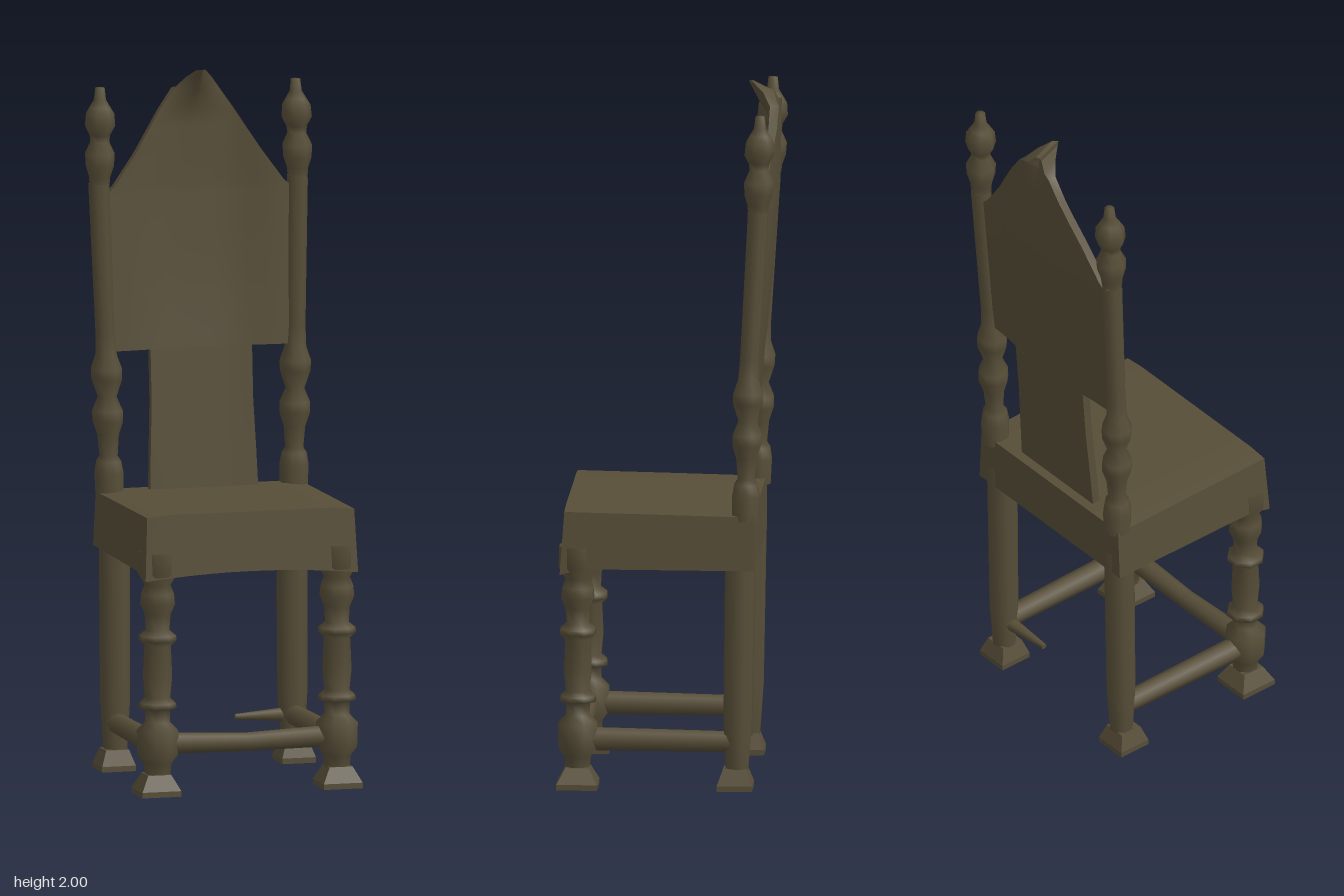
import * as THREE from 'three';

const wood = new THREE.MeshStandardMaterial({ color: 0x574e38, side: THREE.DoubleSide });
wood.name = 'dark oak';

function add(parent, name, geometry) {
  const mesh = new THREE.Mesh(geometry, wood);
  mesh.name = name;
  parent.add(mesh);
  return mesh;
}

// Piecewise-linear lookup in a list of [key, value] points
function lerpAt(points, t) {
  if (t <= points[0][0]) return points[0][1];
  for (let i = 1; i < points.length; i++) {
    const [a, va] = points[i - 1], [b, vb] = points[i];
    if (t <= b) return va + (vb - va) * (t - a) / (b - a);
  }
  return points[points.length - 1][1];
}

// Turned piece: profile of [radius, y], with its axis following x(y) and z(y)
function turned(profile, sides, xPath, zPath) {
  const geo = new THREE.LatheGeometry(profile.map(([r, y]) => new THREE.Vector2(r, y)), sides, Math.PI / sides);
  const p = geo.attributes.position;
  for (let i = 0; i < p.count; i++) {
    const y = p.getY(i);
    p.setX(i, p.getX(i) + lerpAt(xPath, y));
    p.setZ(i, p.getZ(i) + lerpAt(zPath, y));
  }
  return geo;
}

// Flared square foot
function foot(half, x, z) {
  const geo = new THREE.CylinderGeometry(0.034 * Math.SQRT2, half * Math.SQRT2, 0.045, 4, 1).toNonIndexed();
  geo.rotateY(Math.PI / 4);
  geo.translate(x, 0.0375, z);
  geo.computeVertexNormals();
  return geo;
}

// Round rail between two points
function rail(a, b, r0, r1) {
  const from = new THREE.Vector3(...a), to = new THREE.Vector3(...b);
  const dir = to.clone().sub(from);
  const geo = new THREE.CylinderGeometry(r1, r0, dir.length(), 8, 4);
  geo.applyQuaternion(new THREE.Quaternion().setFromUnitVectors(new THREE.Vector3(0, 1, 0), dir.normalize()));
  geo.translate(...from.add(to).multiplyScalar(0.5).toArray());
  return geo;
}

const frontLegProfile = [[0.036, 0.055], [0.04, 0.09], [0.058, 0.115], [0.06, 0.185], [0.036, 0.21], [0.036, 0.245],
  [0.056, 0.25], [0.052, 0.265], [0.036, 0.28], [0.042, 0.34], [0.038, 0.43], [0.055, 0.445], [0.053, 0.46],
  [0.034, 0.475], [0.037, 0.52], [0.05, 0.55], [0.047, 0.58], [0.037, 0.605], [0.058, 0.64], [0.056, 0.7]];
const backLegProfile = [[0.034, 0.055], [0.037, 0.1], [0.043, 0.2], [0.045, 0.64], [0.045, 0.7]];
const postProfile = [[0.04, 0.78], [0.042, 0.85], [0.036, 0.885], [0.026, 0.9], [0.031, 0.96], [0.044, 1.0],
  [0.044, 1.03], [0.027, 1.07], [0.044, 1.12], [0.045, 1.15], [0.031, 1.19], [0.028, 1.25], [0.03, 1.66], [0.03, 1.68]];
const finialProfile = [[0.03, 1.68], [0.032, 1.7], [0.042, 1.73], [0.044, 1.765], [0.028, 1.8], [0.031, 1.82],
  [0.045, 1.845], [0.042, 1.88], [0.03, 1.9], [0.018, 1.92], [0.014, 1.955], [0, 1.956]];
const postX = [[0.78, 0.272], [1.2, 0.28], [1.66, 0.293], [1.95, 0.289]];
const postZ = [[0.78, -0.229], [1.2, -0.238], [1.66, -0.265], [1.95, -0.272]];

// Leaning back surface, hollow in the middle, with a crest that curls forward
const leanZ = [[0.78, -0.2], [1.2, -0.225], [1.66, -0.255], [2, -0.262]];
const hollow = [[0.78, 0], [1.2, 0.012], [1.4, 0.022], [2, 0.028]];
const curl = [[1.88, 0], [1.94, 0.035], [2, 0.068]];
function backZ(x, y, front) {
  const middle = 1 - THREE.MathUtils.smoothstep(Math.abs(x), 0.08, 0.24);
  const crest = Math.max(0, 1 - Math.abs(x) / 0.07) * lerpAt(curl, y);
  return lerpAt(leanZ, y) - lerpAt(hollow, y) * middle + (front ? crest : crest * 0.35 - 0.024);
}

// Thin curved board from rows of [y, half width]; front, back and rim have own normals
function board(rows) {
  const cols = 12, pos = [], idx = [];
  const point = (r, c, front) => {
    const [y, half] = rows[r], x = half * (c / cols * 2 - 1);
    return [x, y - (front || y < 1.95 ? 0 : 0.03), backZ(x, y, front)];
  };
  const grid = (nu, nv, at, flip) => {
    const base = pos.length / 3;
    for (let v = 0; v <= nv; v++) for (let u = 0; u <= nu; u++) pos.push(...at(u, v));
    for (let v = 0; v < nv; v++) for (let u = 0; u < nu; u++) {
      const a = base + v * (nu + 1) + u, b = a + 1, c = b + nu + 1, d = a + nu + 1;
      idx.push(...(flip ? [a, c, b, a, d, c] : [a, b, c, a, c, d]));
    }
  };
  const n = rows.length - 1;
  grid(cols, n, (u, v) => point(v, u, true), false);
  grid(cols, n, (u, v) => point(v, u, false), true);
  for (const end of [0, 1]) {
    grid(1, n, (u, v) => point(v, end * cols, u === 0), end === 0);
    grid(cols, 1, (u, v) => point(end * n, u, v === 0), end === 0);
  }
  const geo = new THREE.BufferGeometry();
  geo.setAttribute('position', new THREE.Float32BufferAttribute(pos, 3));
  geo.setIndex(idx);
  geo.computeVertexNormals();
  return geo;
}

// Upholstered seat block: flared below, arched front apron, softened top edge
function seatGeometry() {
  const geo = new THREE.BoxGeometry(2, 1, 2, 10, 4, 10);
  const p = geo.attributes.position;
  for (let i = 0; i < p.count; i++) {
    const u = p.getX(i), t = p.getY(i) + 0.5, w = p.getZ(i);
    const half = 0.314 - 0.008 * t;
    const z = w > 0 ? w * (0.298 - 0.013 * t) : w * 0.254;
    const top = 0.805 + 0.005 * w - 0.006 * Math.max(0, Math.abs(u) - 0.8) / 0.2;
    const bottom = 0.64 - (w > 0.9 ? 0.018 * u * u : 0);
    p.setXYZ(i, u * half, bottom + (top - bottom) * t, z);
  }
  geo.computeVertexNormals();
  return geo;
}

export function createModel() {
  const chair = new THREE.Group();
  chair.name = 'chair';

  add(chair, 'seat', seatGeometry());

  // Legs, feet, posts, finials and side rails, mirrored
  for (const s of [1, -1]) {
    const side = new THREE.Group();
    side.name = s > 0 ? 'leftSide' : 'rightSide';
    chair.add(side);
    const path = postX.map(([y, x]) => [y, x * s]);
    add(side, 'frontLeg', turned(frontLegProfile, 8, [[0, 0.265 * s]], [[0, 0.249]]));
    add(side, 'frontFoot', foot(0.058, 0.268 * s, 0.249));
    add(side, 'frontFootPad', new THREE.BoxGeometry(0.116, 0.016, 0.116)).position.set(0.268 * s, 0.008, 0.249);
    add(side, 'backLeg', turned(backLegProfile, 8, [[0, 0.262 * s]], [[0.06, -0.205], [0.64, -0.213]]));
    add(side, 'backFoot', foot(0.05, 0.266 * s, -0.2));
    add(side, 'backFootPad', new THREE.BoxGeometry(0.1, 0.016, 0.1)).position.set(0.266 * s, 0.008, -0.2);
    add(side, 'backPost', turned(postProfile, 8, path, postZ));
    add(side, 'finial', turned(finialProfile, 7, path, postZ));
    add(side, 'sideRail', rail([0.265 * s, 0.14, 0.24], [0.262 * s, 0.135, -0.2], 0.034, 0.03));
  }

  // Front rail, thinner in the middle, and the broken stub of the back rail
  for (const s of [1, -1]) add(chair, 'frontRail', rail([0.25 * s, 0.147, 0.25], [0, 0.14, 0.25], 0.031, 0.027));
  add(chair, 'brokenBackRail', rail([0.25, 0.135, -0.205], [0.09, 0.135, -0.2], 0.021, 0.008));

  // Splat and pointed back panel
  add(chair, 'backSplat', board([[0.78, 0.16], [0.9, 0.156], [1.05, 0.15], [1.2, 0.15]]));
  add(chair, 'backPanel', board([[1.2, 0.285], [1.3, 0.285], [1.42, 0.288], [1.54, 0.29], [1.64, 0.285], [1.67, 0.25],
    [1.76, 0.185], [1.83, 0.14], [1.88, 0.108], [1.94, 0.066], [1.975, 0.038], [2, 0.012]]));

  return chair;
}
